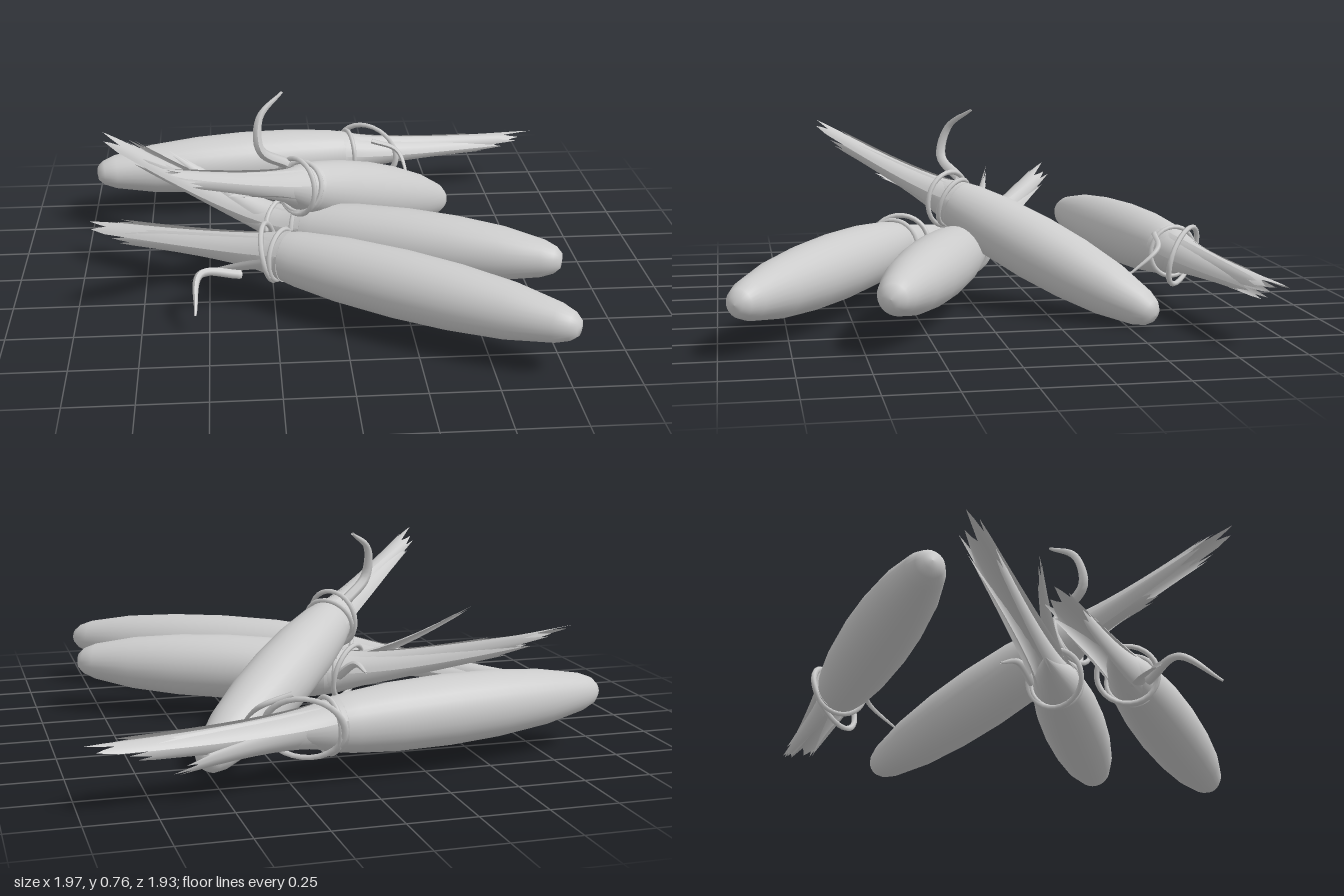
import * as THREE from 'three';

const grey = new THREE.MeshStandardMaterial({ color: 0xcccccc, side: THREE.DoubleSide });
const UP = new THREE.Vector3(0, 1, 0);
const V = (a) => new THREE.Vector3(...a);

function add(parent, geometry, name) {
  const mesh = new THREE.Mesh(geometry, grey);
  mesh.name = name;
  parent.add(mesh);
  return mesh;
}

// body outline: radius, and distance from the tip as a fraction of the cob
const PROFILE = [[0, 0], [0.03, 0.004], [0.052, 0.025], [0.072, 0.07], [0.104, 0.22], [0.122, 0.4],
  [0.128, 0.58], [0.122, 0.78], [0.106, 0.93], [0.09, 1.01], [0.05, 1.13], [0, 1.25]];

// husk leaf: an arc section swept from the neck to its end, with a torn edge
function huskGeometry(neck, axis, normal, end, endRadius, span) {
  const rows = 10, cols = 12;
  const start = neck.clone().addScaledVector(axis, -0.03);
  const bend = start.clone().addScaledVector(axis, start.distanceTo(end) * 0.2);
  const path = new THREE.QuadraticBezierCurve3(start, bend, end);
  const position = [], index = [];
  for (let i = 0; i <= rows; i++) {
    for (let j = 0; j <= cols; j++) {
      const torn = 0.15 * Math.abs(j / cols - 0.33) + [0.04, 0, 0.03, 0.07][j % 4];
      const t = (i / rows) * (1 - torn);
      const r = THREE.MathUtils.lerp(0.1, endRadius, t);
      const phi = (j / cols - 0.5) * span * (1 - 0.2 * t);
      const tangent = path.getTangent(t);
      const across = tangent.clone().cross(normal).normalize();
      const out = across.clone().cross(tangent);
      const p = path.getPoint(t)
        .addScaledVector(out, r * (Math.cos(phi) - t))
        .addScaledVector(across, r * Math.sin(phi));
      position.push(p.x, p.y, p.z);
      if (i < rows && j < cols) {
        const a = i * (cols + 1) + j, c = a + cols + 1;
        index.push(a, a + 1, c, a + 1, c + 1, c);
      }
    }
  }
  const g = new THREE.BufferGeometry();
  g.setAttribute('position', new THREE.Float32BufferAttribute(position, 3));
  g.setIndex(index);
  g.computeVertexNormals();
  return g;
}

// loose strand narrowing to a point
function strandGeometry(points, radius) {
  const path = new THREE.CatmullRomCurve3(points.map(V));
  const steps = 20, sides = 6;
  const g = new THREE.TubeGeometry(path, steps, radius, sides);
  const pos = g.attributes.position, p = new THREE.Vector3();
  for (let k = 0; k < pos.count; k++) {
    const t = Math.floor(k / (sides + 1)) / steps;
    p.fromBufferAttribute(pos, k).lerp(path.getPointAt(t), 0.75 * t * t);
    pos.setXYZ(k, p.x, p.y, p.z);
  }
  g.computeVertexNormals();
  return g;
}

// main leaf and its two flanking leaves: turn around the cob, reach, end radius, span
const LEAVES = [[0.1, 1, 0.05, 2.6], [1.4, 0.9, 0.035, 2], [-1.5, 0.84, 0.035, 2]];

function createCob({ name, tip, neck, husk, spread, extra, extraTurn, extraRadius, slack, strand, strandRadius }) {
  const group = new THREE.Group();
  group.name = name;
  const tipPoint = V(tip), neckPoint = V(neck), huskEnd = V(husk);
  const axis = neckPoint.clone().sub(tipPoint), length = axis.length();
  axis.normalize();
  const up = UP.clone().addScaledVector(axis, -UP.dot(axis)).normalize();
  const side = axis.clone().cross(up);
  const radial = (turn) => up.clone().multiplyScalar(Math.cos(turn)).addScaledVector(side, Math.sin(turn));

  // smooth body, rounded at the tip
  const profile = PROFILE.map(([r, t]) => new THREE.Vector2(r, t * length));
  const body = add(group, new THREE.LatheGeometry(profile, 28), 'body');
  body.position.copy(tipPoint);
  body.quaternion.setFromUnitVectors(UP, axis);

  // husk leaves peeled back behind the neck
  LEAVES.forEach(([turn, reach, endRadius, span], i) => {
    const end = neckPoint.clone().lerp(huskEnd, reach);
    if (i > 0) end.addScaledVector(radial(turn), 0.05 * spread).addScaledVector(up, -0.03);
    add(group, huskGeometry(neckPoint, axis, radial(turn), end, endRadius * spread, span), 'huskLeaf');
  });
  add(group, huskGeometry(neckPoint, axis, radial(extraTurn), V(extra), extraRadius, 1.8), 'looseLeaf');

  // twine wound round the neck, the second turn hanging slack
  const frame = new THREE.Quaternion().setFromRotationMatrix(
    new THREE.Matrix4().makeBasis(up.clone().cross(axis), up, axis));
  [0.05, slack].forEach((yaw, i) => {
    const ring = add(group, new THREE.TorusGeometry(0.098 + 0.012 * i, 0.01, 6, 28), 'twineRing');
    ring.position.copy(neckPoint).addScaledVector(axis, 0.02 * i + 0.1 * Math.abs(yaw));
    ring.quaternion.copy(frame).multiply(
      new THREE.Quaternion().setFromEuler(new THREE.Euler(0.25 * i, yaw, 0)));
    ring.scale.x = 1 / Math.cos(yaw);
  });

  add(group, strandGeometry(strand, strandRadius), 'looseStrand');
  return group;
}

const COBS = [
  {
    name: 'backCob', tip: [-0.98, 0.215, -0.6], neck: [0.12, 0.21, -0.785], husk: [1, 0.24, -0.91], spread: 1.1,
    extra: [0.71, 0.14, -0.97], extraTurn: -1.9, extraRadius: 0.03, slack: 0.75,
    strand: [[0.22, 0.3, -0.68], [0.33, 0.26, -0.66], [0.37, 0.15, -0.51]], strandRadius: 0.011,
  },
  {
    name: 'frontCob', tip: [0.78, 0.2, 0.94], neck: [-0.22, 0.21, 0.285], husk: [-1, 0.16, -0.22], spread: 1.2,
    extra: [-0.58, 0.12, 0.3], extraTurn: -2.4, extraRadius: 0.04, slack: 0.35,
    strand: [[-0.38, 0.14, 0.3], [-0.53, 0.18, 0.37], [-0.55, 0.09, 0.53]], strandRadius: 0.018,
  },
  {
    name: 'middleCob', tip: [0.83, 0.21, 0.42], neck: [-0.14, 0.2, 0.01], husk: [-0.95, 0.45, -0.51], spread: 1.1,
    extra: [-0.66, 0.48, -0.18], extraTurn: -0.5, extraRadius: 0.015, slack: -0.35,
    strand: [[-0.13, 0.2, -0.08], [-0.18, 0.26, -0.15], [-0.2, 0.24, -0.22]], strandRadius: 0.018,
  },
  {
    name: 'leaningCob', tip: [0.52, 0.045, -0.6], neck: [-0.13, 0.39, 0.05], husk: [-0.67, 0.69, 0.57], spread: 0.9,
    extra: [-0.42, 0.48, 0.35], extraTurn: 3, extraRadius: 0.04, slack: -0.15,
    strand: [[-0.19, 0.48, 0.02], [-0.29, 0.56, 0.08], [-0.29, 0.68, 0.05], [-0.2, 0.755, -0.03]],
    strandRadius: 0.022,
  },
];

export function createModel() {
  const model = new THREE.Group();
  model.name = 'cornCobs';
  COBS.forEach((cob) => model.add(createCob(cob)));
  return model;
}
